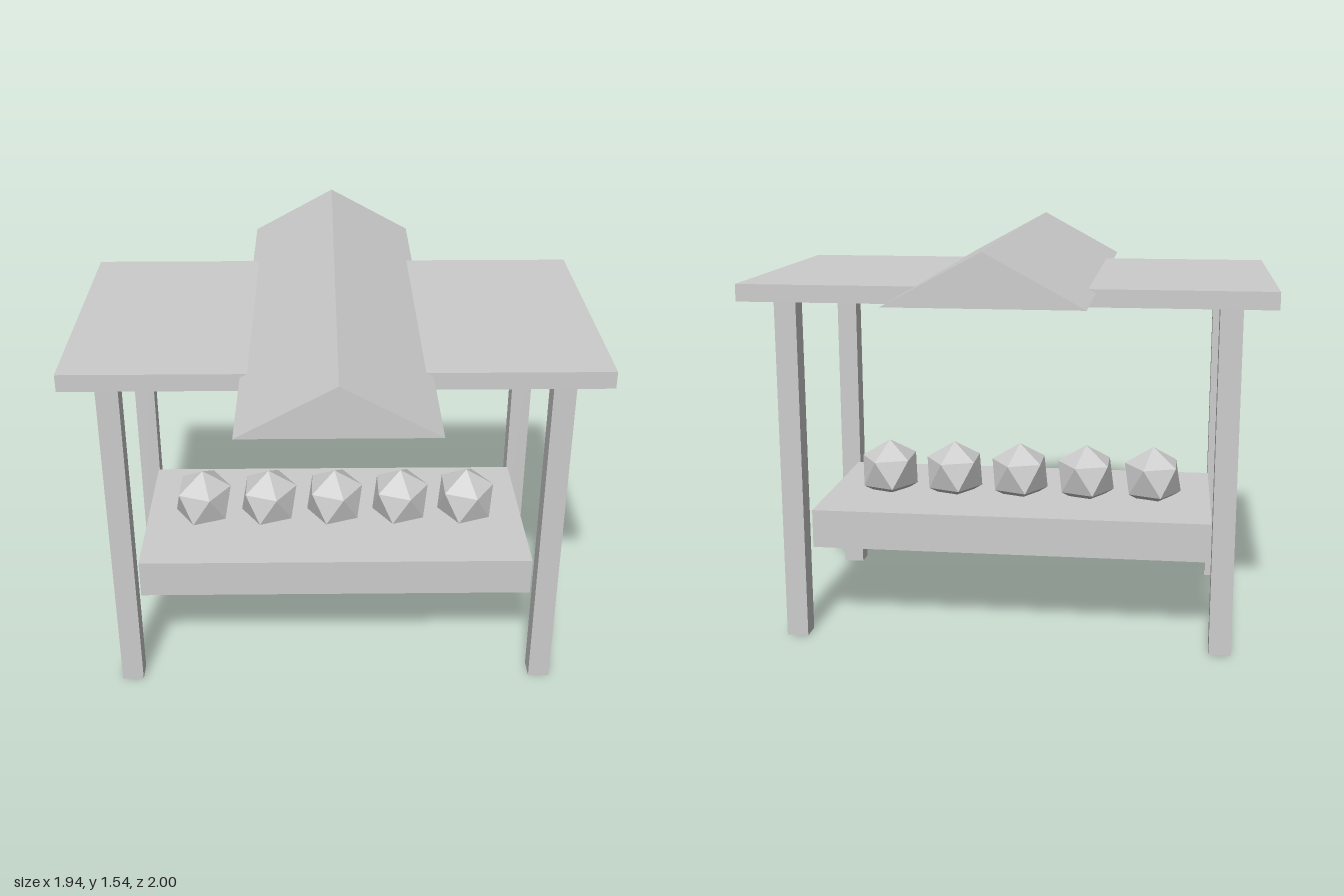
import * as THREE from 'three';

export function createModel() {
  const model = new THREE.Group();
  model.name = 'marketStall';

  const paleGrey = new THREE.MeshStandardMaterial({ color: 0xcccccc });
  paleGrey.name = 'paleGrey';

  const add = (name, geometry, x, y, z) => {
    const mesh = new THREE.Mesh(geometry, paleGrey);
    mesh.name = name;
    mesh.position.set(x, y, z);
    model.add(mesh);
    return mesh;
  };

  // Four posts
  const postGeometry = new THREE.BoxGeometry(0.082, 1.312, 0.082);
  for (const x of [-1, 1]) {
    for (const z of [-1, 1]) {
      const name = (z > 0 ? 'front' : 'back') + (x > 0 ? 'Left' : 'Right') + 'Post';
      add(name, postGeometry, x * 0.811, 0.656, z * 0.444);
    }
  }

  // Counter between the posts
  add('counter', new THREE.BoxGeometry(1.54, 0.15, 0.744), 0, 0.399, 0);

  // Flat roof slab
  add('roofSlab', new THREE.BoxGeometry(1.944, 0.064, 1.106), 0, 1.342, 0);

  // Gabled ridge running front to back across the roof
  const gable = new THREE.Shape([
    new THREE.Vector2(-0.335, 1.36),
    new THREE.Vector2(0.335, 1.36),
    new THREE.Vector2(0, 1.542),
  ]);
  add('roofRidge', new THREE.ExtrudeGeometry(gable, { depth: 2, bevelEnabled: false }), 0, 0, -1);

  // Row of faceted goods, point upwards, partly sunk into the counter
  const goodsGeometry = new THREE.IcosahedronGeometry(1, 0);
  goodsGeometry.rotateZ(-Math.atan(2 / (1 + Math.sqrt(5))));
  goodsGeometry.scale(0.127, 0.124, 0.151);
  for (let i = -2; i <= 2; i++) {
    add('goods' + (i + 3), goodsGeometry, i * 0.27, 0.551, 0);
  }

  return model;
}
